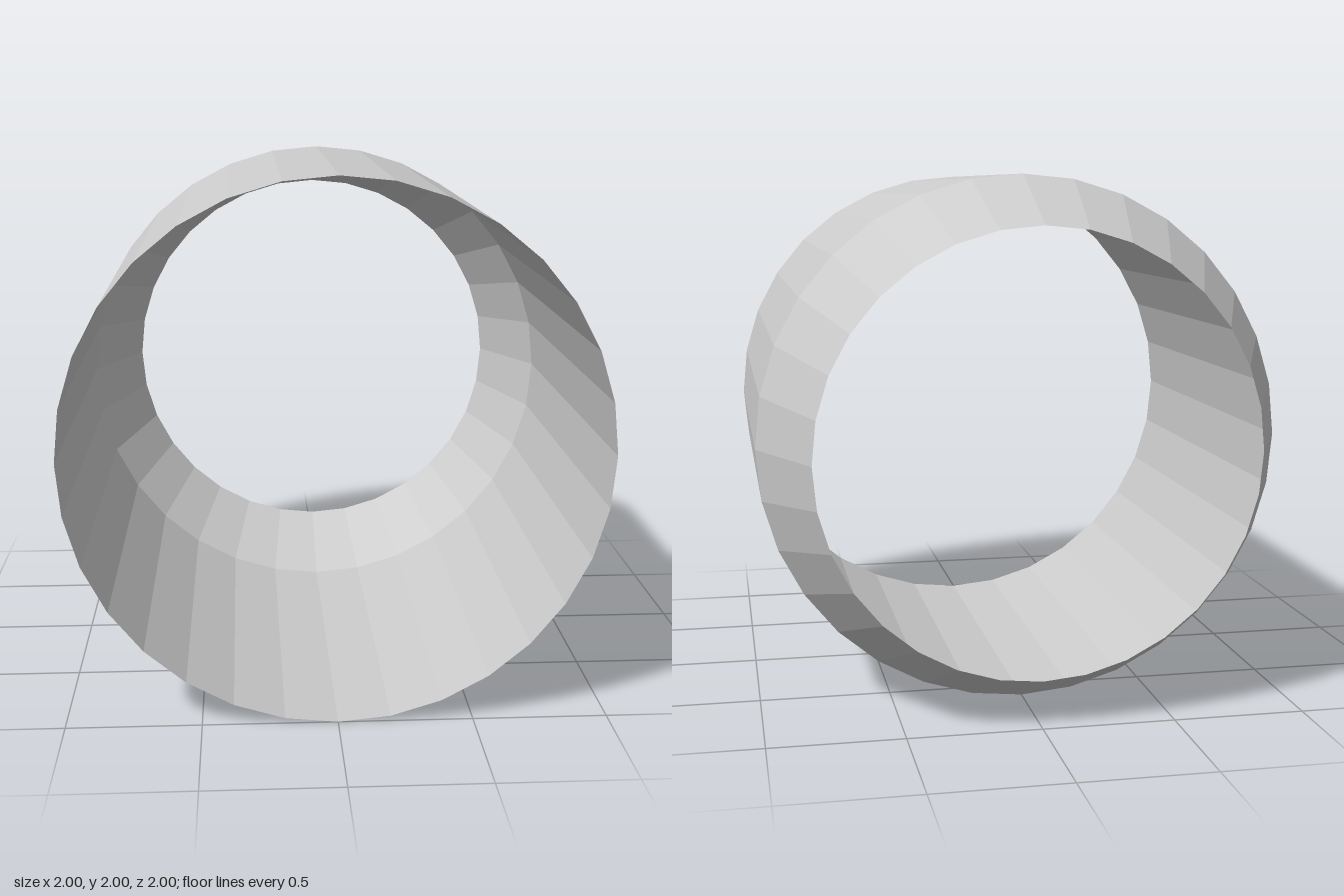
import * as THREE from 'three';

const SIDES = 32;

// Open thin-walled tube section along z, from the back end to the front end
function ringSection(name, backRadius, backZ, frontRadius, frontZ, material) {
  const profile = [new THREE.Vector2(backRadius, backZ), new THREE.Vector2(frontRadius, frontZ)];
  const geometry = new THREE.LatheGeometry(profile, SIDES);
  geometry.rotateX(Math.PI / 2); // lathe axis y becomes z
  geometry.translate(0, 1, 0);
  const mesh = new THREE.Mesh(geometry, material);
  mesh.name = name;
  return mesh;
}

export function createModel() {
  const group = new THREE.Group();
  group.name = 'taperedSleeve';
  const material = new THREE.MeshStandardMaterial({
    color: 0xcccccc, flatShading: true, side: THREE.DoubleSide,
  });

  // Straight barrel, open at the front
  group.add(ringSection('barrel', 1, -0.62, 1, 1, material));
  // Collar narrowing to the open back
  group.add(ringSection('taperedCollar', 0.82, -1, 1, -0.62, material));
  return group;
}
